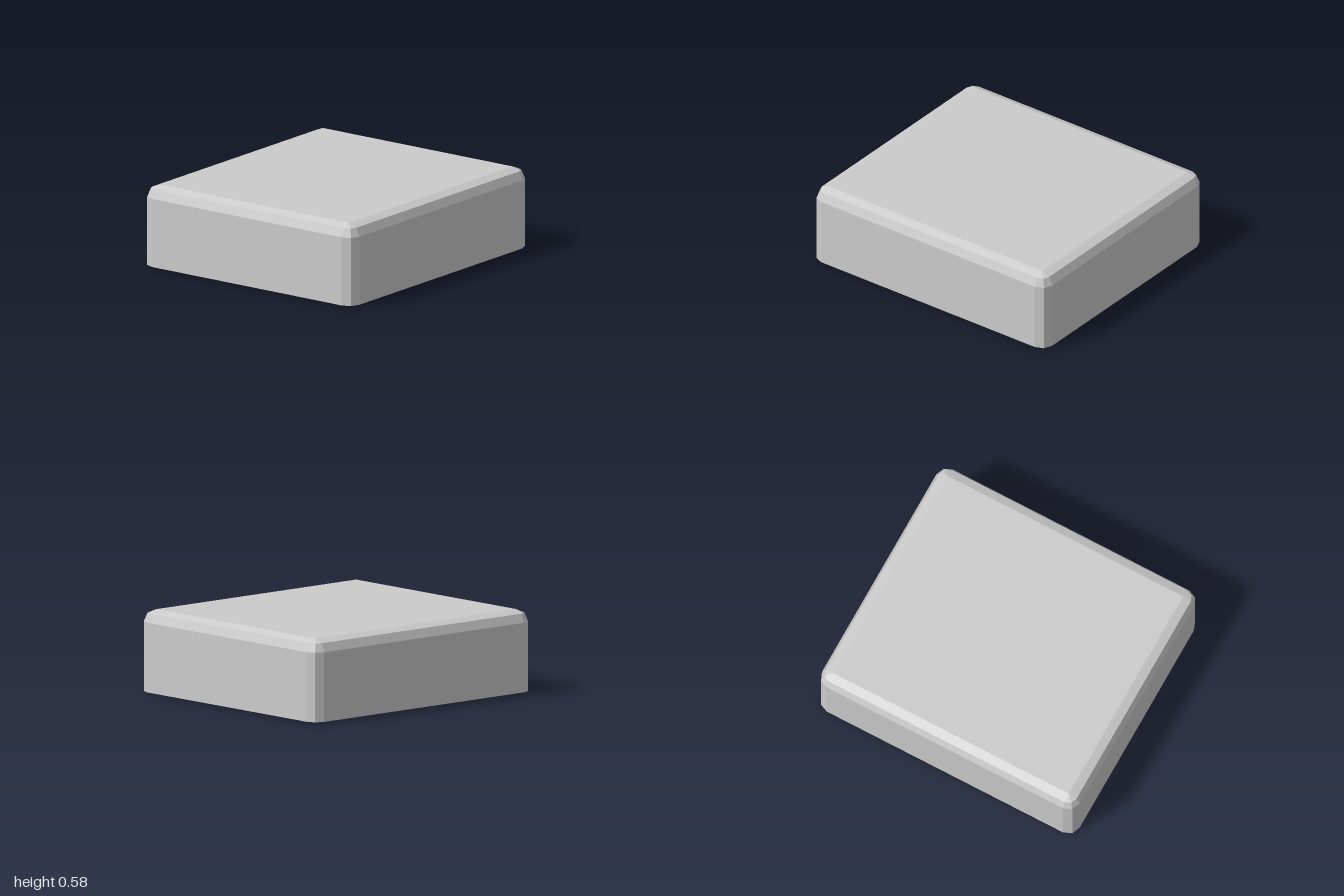
import * as THREE from 'three';

const material = new THREE.MeshStandardMaterial({ color: 0xcccccc, flatShading: true });
const HALF_X = 0.9, HALF_Z = 1, R = 0.085;
const FLOOR = 0.02; // underside of the case
const CORNERS = [[1, 1], [-1, 1], [-1, -1], [1, -1]];

// Rounded rectangle at height y, pulled in by inset, two segments per corner
function ring(y, inset) {
  const r = R - inset, points = [];
  CORNERS.forEach(([sx, sz], c) => {
    for (let i = 0; i <= 2; i++) {
      const a = (c + i / 2) * Math.PI / 2;
      points.push([sx * (HALF_X - R) + r * Math.cos(a), y, sz * (HALF_Z - R) + r * Math.sin(a)]);
    }
  });
  return points;
}

// Case: stacked rings with a two-step bevel on top and a shallow lip underneath
function caseGeometry() {
  const rings = [[FLOOR, 0.012], [0.014, 0.012], [0.014, 0], [0.495, 0], [0.555, 0.025], [0.58, R]]
    .map(([y, inset]) => ring(y, inset));
  const v = [], n = rings[0].length, last = rings.length - 1;
  const tri = (...p) => p.forEach(q => v.push(...q));
  for (let i = 0; i < n; i++) {
    const j = (i + 1) % n;
    for (let k = 0; k < last; k++) {
      const a = rings[k], b = rings[k + 1];
      tri(a[i], b[i], a[j]);
      tri(a[j], b[i], b[j]);
    }
    tri([0, FLOOR, 0], rings[0][i], rings[0][j]);
    tri([0, 0.58, 0], rings[last][j], rings[last][i]);
  }
  const g = new THREE.BufferGeometry();
  g.setAttribute('position', new THREE.Float32BufferAttribute(v, 3));
  g.computeVertexNormals();
  return g;
}

function add(parent, name, geometry, x = 0, y = 0, z = 0) {
  const mesh = new THREE.Mesh(geometry, material);
  mesh.name = name;
  mesh.position.set(x, y, z);
  parent.add(mesh);
  return mesh;
}

// Raised marks for one half of the underside
function undersideMarks() {
  const g = new THREE.Group();

  // Pad with one straight side and two clipped corners
  const outline = [[0.3, -0.66], [0.52, -0.66], [0.61, -0.55], [0.61, -0.16], [0.48, -0.05], [0.3, -0.05]];
  const shape = new THREE.Shape(outline.map(([x, z]) => new THREE.Vector2(x, -z)));
  const pad = new THREE.ExtrudeGeometry(shape, { depth: FLOOR - 0.004, bevelEnabled: false });
  pad.rotateX(-Math.PI / 2);
  add(g, 'clippedPad', pad, 0, 0.004, 0);
  add(g, 'padStrip', new THREE.BoxGeometry(0.22, FLOOR - 0.006, 0.008), 0.195, FLOOR / 2 + 0.003, -0.17);

  // Round pad crossed by a slanted strip
  add(g, 'roundPad', new THREE.CylinderGeometry(0.135, 0.135, FLOOR, 24), 0.42, FLOOR / 2, 0.525);
  const strip = add(g, 'slantedStrip', new THREE.BoxGeometry(0.51, FLOOR, 0.01), 0.425, FLOOR / 2, 0.525);
  strip.rotation.y = -Math.atan2(0.39, 0.34);
  return g;
}

export function createModel() {
  const model = new THREE.Group();
  model.name = 'beveledCase';
  add(model, 'case', caseGeometry());
  ['leftMarks', 'rightMarks'].forEach((name, i) => {
    const marks = undersideMarks();
    marks.name = name;
    marks.rotation.y = i * Math.PI;
    model.add(marks);
  });
  return model;
}
